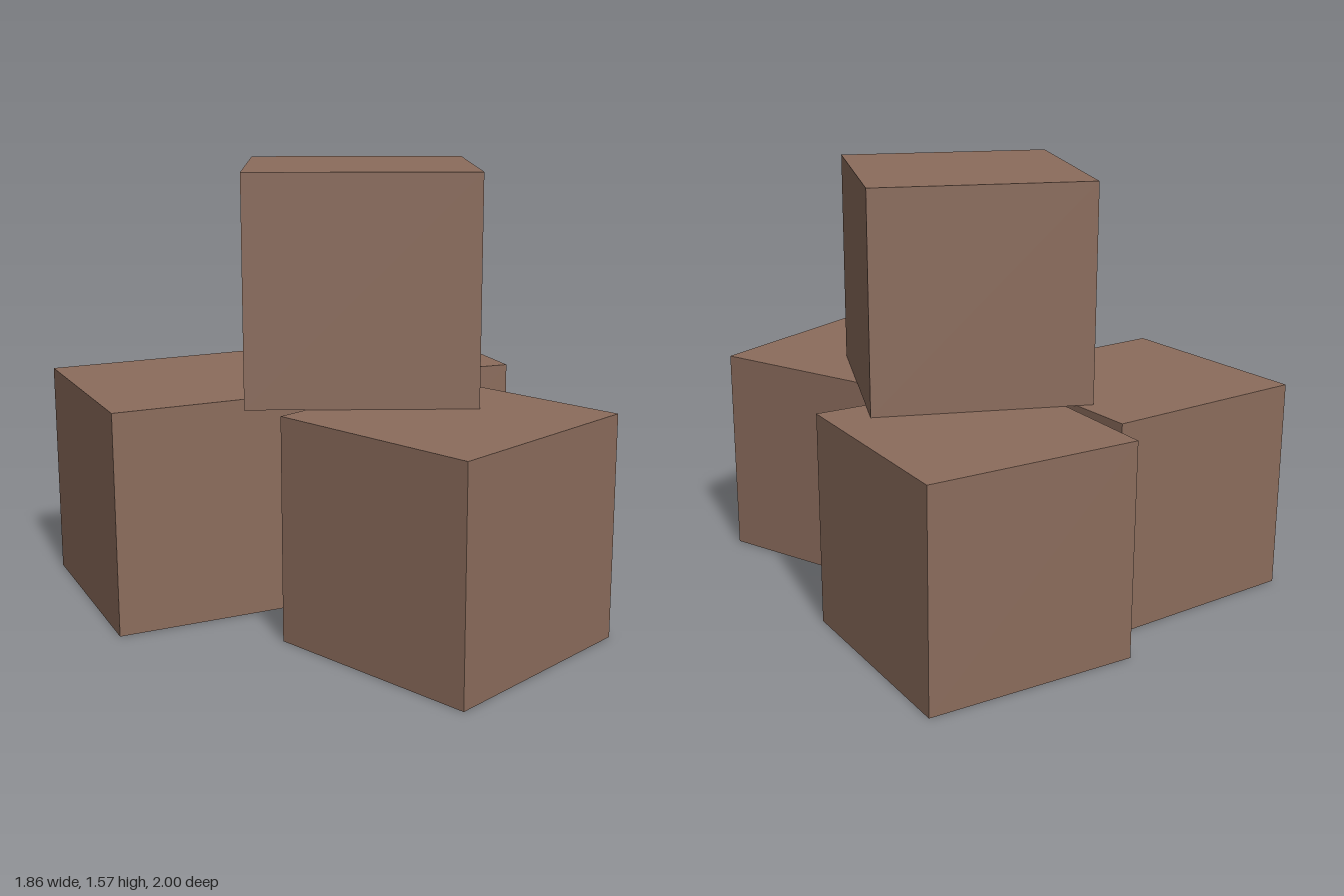
import * as THREE from 'three';

const SIZE = 0.787;

export function createModel() {
  const group = new THREE.Group();
  const brown = new THREE.MeshStandardMaterial({ color: 0x8b6c5c });
  brown.name = 'crateBrown';
  const cube = new THREE.BoxGeometry(SIZE, SIZE, SIZE);

  // name, centre x, centre z, layer, turn about y
  const crates = [
    ['backRightCrate', -0.411, -0.481, 0, -0.428],
    ['backLeftCrate', 0.394, -0.258, 0, -0.502],
    ['frontCrate', -0.231, 0.583, 0, -0.056],
    ['topCrate', -0.065, 0.055, 1, 0.722],
  ];
  for (const [name, x, z, layer, turn] of crates) {
    const crate = new THREE.Mesh(cube, brown);
    crate.name = name;
    crate.position.set(x, SIZE * (layer + 0.5), z);
    crate.rotation.y = turn;
    group.add(crate);
  }
  return group;
}
